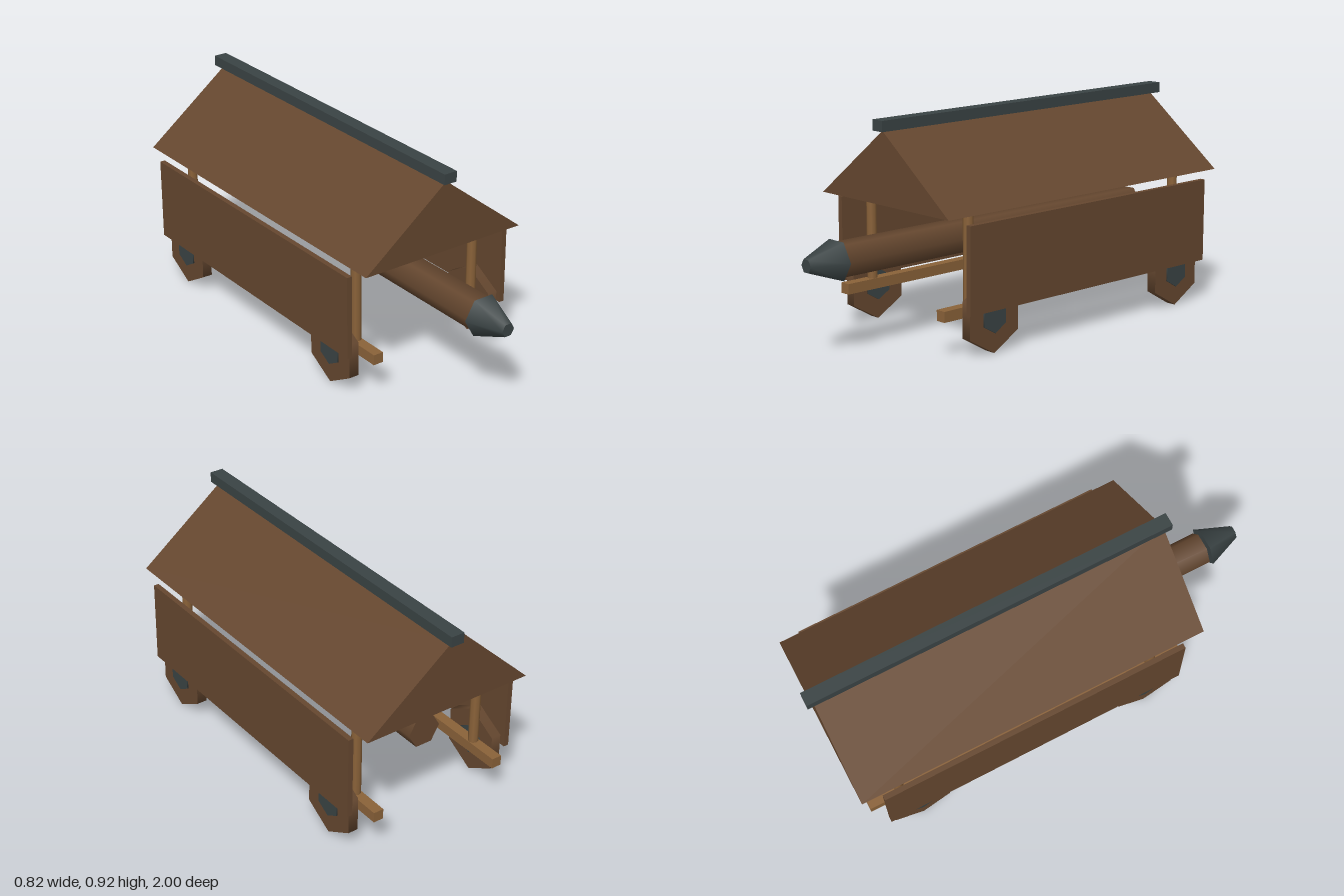
import * as THREE from 'three';

export function createModel() {
  const model = new THREE.Group();
  model.name = 'coveredBatteringRam';

  const mat = (name, color) => {
    const m = new THREE.MeshStandardMaterial({ color });
    m.name = name;
    return m;
  };
  const darkWood = mat('dark wood', 0x65472f);
  const lightWood = mat('light wood', 0x8a6239);
  const iron = mat('dark iron', 0x3a4344);

  const add = (name, geometry, material, x, y, z) => {
    const mesh = new THREE.Mesh(geometry, material);
    mesh.name = name;
    mesh.position.set(x, y, z);
    model.add(mesh);
    return mesh;
  };
  // six-sided bar, a corner pointing along x before it is turned
  const hexBar = (rTop, rBottom, length) =>
    new THREE.CylinderGeometry(rTop, rBottom, length, 6, 1, false, Math.PI / 2);

  // Gabled roof, a solid triangular prism, with its ridge beam
  const gable = new THREE.Shape();
  gable.moveTo(-0.39, 0);
  gable.lineTo(0.39, 0);
  gable.lineTo(0, 0.302);
  gable.closePath();
  const roof = new THREE.ExtrudeGeometry(gable, { depth: 1.58, bevelEnabled: false });
  add('roof', roof, darkWood, 0, 0.578, -0.97);
  add('ridgeBeam', new THREE.BoxGeometry(0.06, 0.045, 1.635), iron, 0, 0.903, -0.182);

  // Hanging log and its blunt iron head
  add('ramLog', hexBar(0.075, 0.075, 1.67).rotateX(Math.PI / 2), darkWood, 0, 0.395, 0.005);
  add('ramHead', hexBar(0.03, 0.09, 0.15).rotateX(Math.PI / 2), iron, 0, 0.395, 0.925);

  // Frame, side shields and wheels, mirrored left and right
  for (const [side, s] of [['left', 1], ['right', -1]]) {
    add(side + 'Rail', new THREE.BoxGeometry(0.045, 0.045, 1.51), lightWood, s * 0.3, 0.175, -0.18);
    add(side + 'Shield', new THREE.BoxGeometry(0.023, 0.362, 1.395), darkWood, s * 0.398, 0.364, -0.182);

    for (const [end, postZ, wheelZ] of [['Front', 0.427, 0.365], ['Back', -0.787, -0.725]]) {
      add(side + end + 'Post', new THREE.CylinderGeometry(0.0215, 0.0215, 0.403, 8), lightWood, s * 0.3, 0.3765, postZ);
      add(side + end + 'Wheel', hexBar(0.151, 0.151, 0.045).rotateZ(Math.PI / 2), darkWood, s * 0.3625, 0.152, wheelZ);
      add(side + end + 'Hub', hexBar(0.068, 0.068, 0.056).rotateZ(Math.PI / 2), iron, s * 0.3625, 0.152, wheelZ);
    }
  }
  return model;
}
